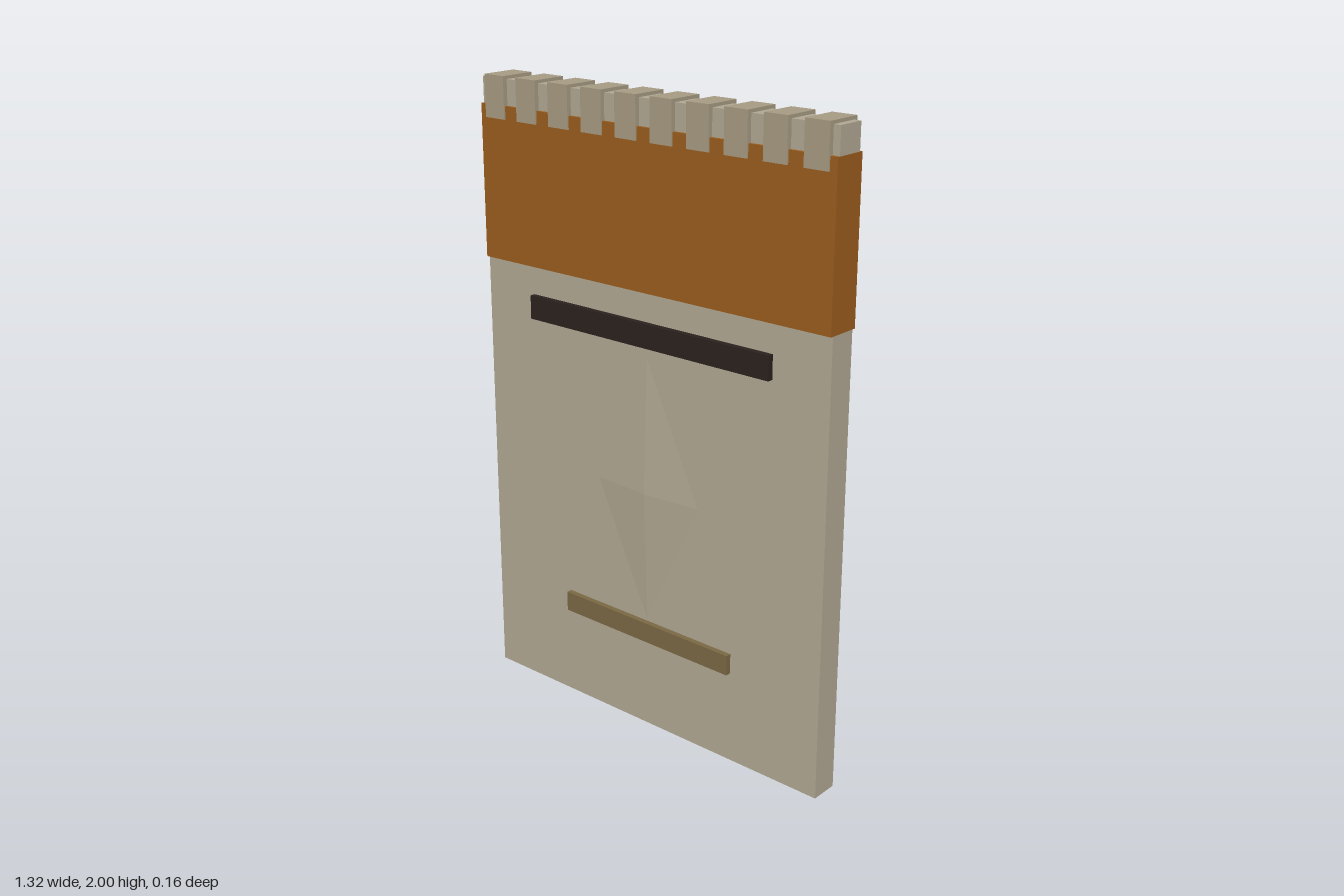
import * as THREE from 'three';

const paint = (color) => new THREE.MeshStandardMaterial({ color, flatShading: true });
const cloth = paint(0xb0a792);
const tieCloth = paint(0xa69a82);
const orange = paint(0x9a5c1d);
const dark = paint(0x2a221e);
const tan = paint(0x7a6844);
const green = paint(0x3c4c29);

const MID_Z = 0.02; // middle of the cloth panel's thickness

export function createModel() {
  const group = new THREE.Group();

  const add = (name, geometry, material, x, y, z) => {
    const mesh = new THREE.Mesh(geometry, material);
    mesh.name = name;
    mesh.position.set(x, y, z);
    group.add(mesh);
    return mesh;
  };

  // Box spanning y0..y1, centred on x
  const slab = (name, material, w, y0, y1, d, x = 0, z = MID_Z) =>
    add(name, new THREE.BoxGeometry(w, y1 - y0, d), material, x, (y0 + y1) / 2, z);

  // Hanging panel, with bands wrapped round both faces
  slab('bannerCloth', cloth, 1.32, 0, 1.99, 0.09);
  slab('topBand', orange, 1.322, 1.43, 1.91, 0.11);
  slab('darkStripe', dark, 0.926, 1.265, 1.34, 0.126);
  slab('lowerStripe', tan, 0.664, 0.3, 0.365, 0.126);

  // Row of loops along the top edge
  for (let i = 0; i < 10; i++) {
    slab('hangingLoop', tieCloth, 0.08, 1.87, 2, 0.12, (i - 4.5) * 0.1327);
  }

  // Shallow faceted diamond raised from each face
  for (const z of [0.065, -0.025]) {
    add('diamondRelief', new THREE.OctahedronGeometry(1), cloth, 0, 0.8, z)
      .scale.set(0.2, 0.43, 0.015);
  }

  // Pumpkin emblem on the back: flattened low-poly ball and stem
  add('pumpkin', new THREE.SphereGeometry(1, 8, 4), orange, 0, 0.728, -0.039)
    .scale.set(0.35, 0.283, 0.042);
  slab('pumpkinStem', green, 0.076, 1.01, 1.17, 0.05, 0, -0.042);

  return group;
}
